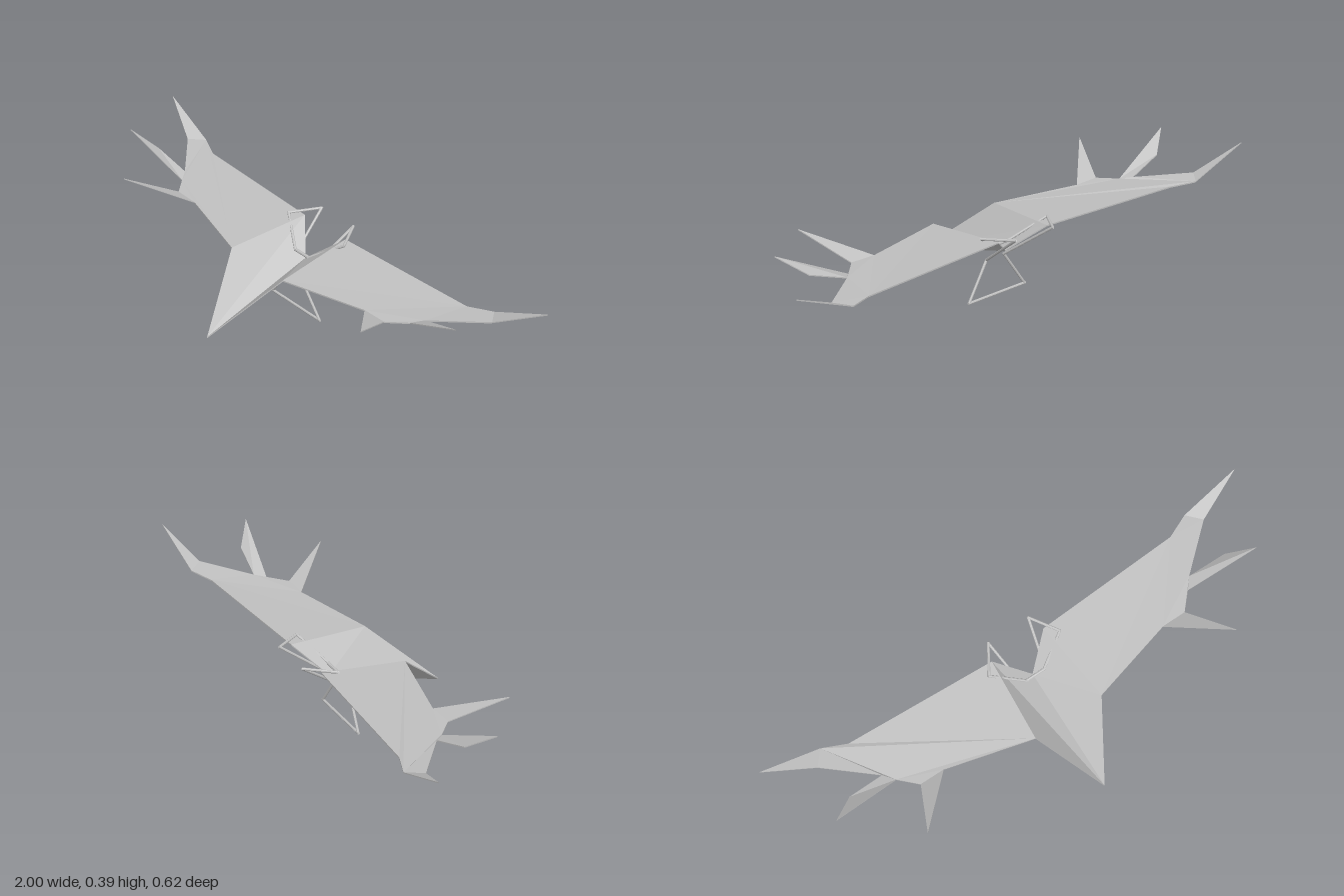
import * as THREE from 'three';

const grey = new THREE.MeshStandardMaterial({ color: 0xc0c0c0 });
grey.name = 'light grey';
grey.flatShading = true;

// Thin folded-paper plate: a 3D outline, triangulated as seen from above, with a small thickness in y.
function plate(name, outline, thickness = 0.005) {
  const area = (a, b, c) => (b[0] - a[0]) * (c[2] - a[2]) - (b[2] - a[2]) * (c[0] - a[0]);
  const flat = outline.map(p => new THREE.Vector2(p[0], p[2]));
  const pts = THREE.ShapeUtils.area(flat) > 0 ? [...outline].reverse() : outline;
  const n = pts.length;
  const low = p => [p[0], p[1] - thickness, p[2]];
  const pos = [];
  const tri = (a, b, c) => pos.push(...a, ...b, ...c);
  const faces = THREE.ShapeUtils.triangulateShape(pts.map(p => new THREE.Vector2(p[0], p[2])), []);
  for (const f of faces) {
    let [a, b, c] = f.map(i => pts[i]);
    if (area(a, b, c) > 0) [b, c] = [c, b];
    tri(a, b, c);
    tri(low(a), low(c), low(b));
  }
  for (let i = 0; i < n; i++) {
    const a = pts[i], b = pts[(i + 1) % n];
    tri(a, low(a), low(b));
    tri(a, low(b), b);
  }
  const geo = new THREE.BufferGeometry();
  geo.setAttribute('position', new THREE.Float32BufferAttribute(pos, 3));
  geo.computeVertexNormals();
  const mesh = new THREE.Mesh(geo, grey);
  mesh.name = name;
  return mesh;
}

// Straight rod between two points, slightly overlapping its neighbours.
function rod(name, from, to, radius = 0.005) {
  const a = new THREE.Vector3(...from), b = new THREE.Vector3(...to);
  const dir = b.clone().sub(a);
  const mesh = new THREE.Mesh(new THREE.CylinderGeometry(radius, radius, dir.length() + radius, 8), grey);
  mesh.position.copy(a).add(b).multiplyScalar(0.5);
  mesh.quaternion.setFromUnitVectors(new THREE.Vector3(0, 1, 0), dir.normalize());
  mesh.name = name;
  return mesh;
}

export function createModel() {
  const group = new THREE.Group();
  group.name = 'glider';

  for (const s of [1, -1]) {
    const side = s > 0 ? 'left' : 'right';
    const m = (x, y, z) => [s * x, y, z];

    // Shared corners
    const nose = m(0, 0.042, 0.31), shoulder = m(0.14, 0.252, 0.085);
    const rear = m(0.11, 0.281, -0.228), keelEnd = m(0, 0.188, -0.138);
    const f1a = m(0.465, 0.26, 0.0), f1b = m(0.56, 0.262, 0.0);
    const f2a = m(0.62, 0.262, -0.062), f2b = m(0.652, 0.272, -0.1);
    const f3a = m(0.82, 0.29, -0.243), f3b = m(0.775, 0.285, -0.298);

    // V-shaped body half and wing
    group.add(plate(side + 'BodyPanel', [nose, shoulder, rear, keelEnd]));
    group.add(plate(side + 'Wing', [rear, shoulder, f1a, f1b, f2a, f2b, f3a, f3b, m(0.685, 0.277, -0.26)]));

    // Upturned wing-tip feathers
    group.add(plate(side + 'FrontFeather', [f1a, m(0.645, 0.346, 0.182), f1b], 0.004));
    group.add(plate(side + 'MiddleFeather', [f2a, m(0.876, 0.387, -0.017), m(0.79, 0.319, -0.083), f2b], 0.004));
    group.add(plate(side + 'OuterFeather', [f3a, m(0.998, 0.383, -0.309), f3b], 0.004));

    // Bent rod frame: arm, hook over the trailing edge, leg
    const path = [m(0.035, 0.212, -0.12), m(0.15, 0.29, -0.185), m(0.085, 0.3, -0.286),
      m(0.04, 0.142, -0.084), m(0.128, 0.006, -0.095)];
    ['Arm', 'Hook', 'UpperLeg', 'LowerLeg'].forEach((part, i) =>
      group.add(rod(side + part, path[i], path[i + 1])));
  }

  // Cross bars
  group.add(rod('gripBar', [-0.036, 0.212, -0.122], [0.036, 0.212, -0.122], 0.006));
  group.add(rod('footBar', [-0.13, 0.005, -0.095], [0.13, 0.005, -0.095]));
  return group;
}
